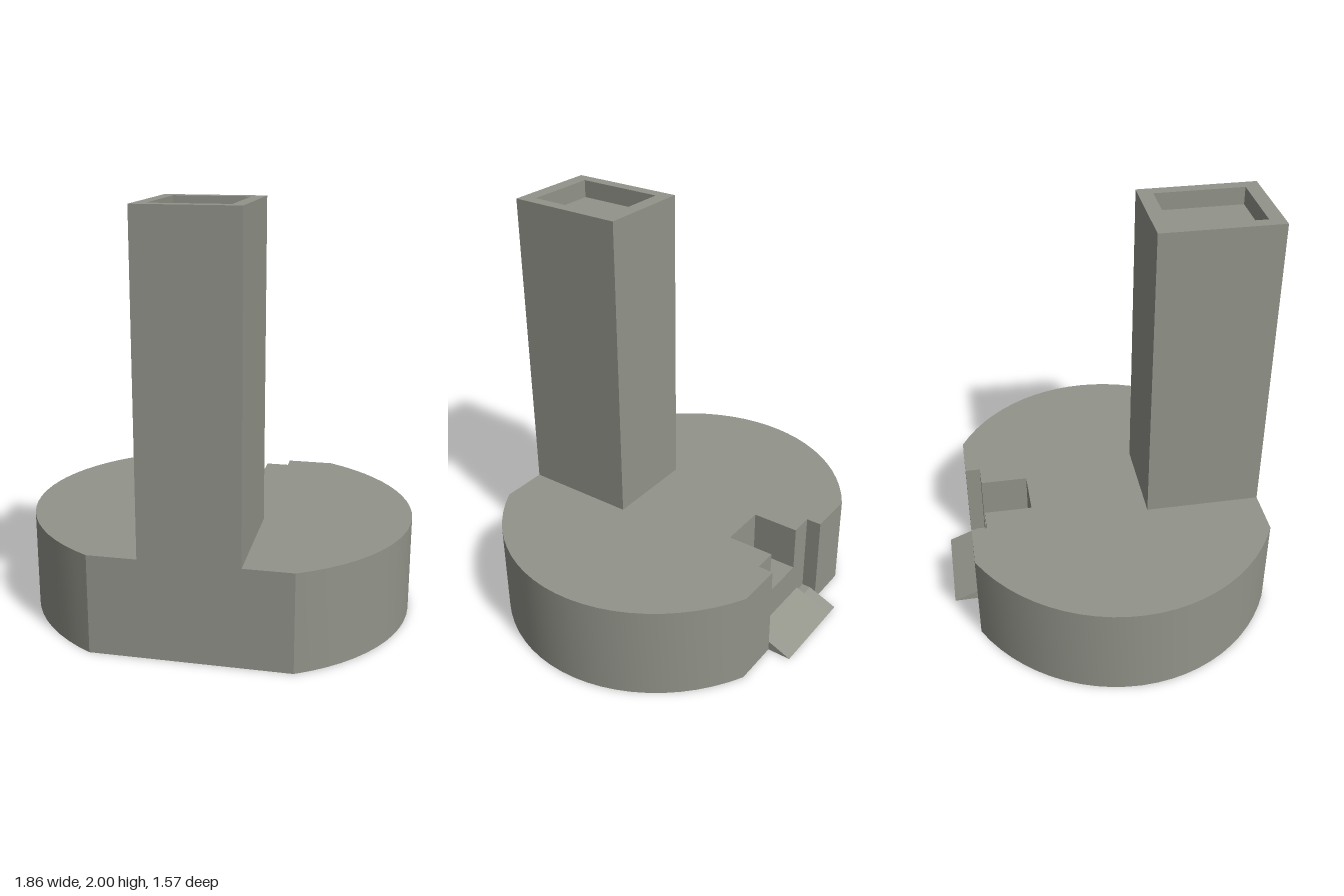
import * as THREE from 'three';
import { toCreasedNormals } from 'three/addons/utils/BufferGeometryUtils.js';

const grey = new THREE.MeshStandardMaterial({ color: 0x92948a, side: THREE.DoubleSide });
grey.name = 'warm grey';

const BASE_TOP = 0.475, TOP = 2, FRONT = 0.787, BACK = -0.67;
const HALF = 0.233, TOWER_BACK = 0.215;   // tower footprint
const NOTCH = -0.595, SLOT = -0.36, SLOT_HALF = 0.118;
const RECESS = 0.085;

// extrude a plan given as [x, z] points upward from y0 to y1
function plan(points, y0, y1, hole) {
  const toV = ([x, z]) => new THREE.Vector2(x, -z);
  const shape = new THREE.Shape(points.map(toV));
  if (hole) shape.holes.push(new THREE.Path(hole.map(toV)));
  const g = new THREE.ExtrudeGeometry(shape, { depth: y1 - y0, bevelEnabled: false });
  g.rotateX(-Math.PI / 2);
  g.translate(0, y0, 0);
  return toCreasedNormals(g, 0.3);
}

const rect = (hx, z0, z1) => [[-hx, z1], [hx, z1], [hx, z0], [-hx, z0]];

export function createModel() {
  const model = new THREE.Group();
  model.name = 'towerOnRoundBase';
  const add = (name, geometry, parent = model) => {
    const m = new THREE.Mesh(geometry, grey);
    m.name = name;
    parent.add(m);
    return m;
  };

  // base: one side from front to back, then mirrored
  const side = [[HALF, TOWER_BACK], [HALF, FRONT]];
  const steps = 24;
  for (let i = 0; i <= steps; i++) {
    const a = THREE.MathUtils.degToRad(60 - (120 * i) / steps);
    side.push([0.93 * Math.cos(a), 0.0585 + 0.8412 * Math.sin(a)]);
  }
  side.push([HALF, BACK], [HALF, NOTCH], [SLOT_HALF, NOTCH], [SLOT_HALF, SLOT]);
  const mirrored = side.map(([x, z]) => [-x, z]).reverse();
  add('base', plan([...side, ...mirrored], 0, BASE_TOP));

  // raised floor of the narrow slot behind the notch
  add('slotFloor', plan(rect(SLOT_HALF, NOTCH, SLOT), 0, 0.245));

  // ramp: wedge rising into the notch, with small flat steps at the inner corners
  const ramp = new THREE.Group();
  ramp.name = 'ramp';
  model.add(ramp);
  const tip = -0.787, bend = -0.64, inner = 0.172;
  const height = (z) => (z - tip) * 0.42;
  const wedge = (name, x0, x1, profile) => {
    const g = new THREE.ExtrudeGeometry(
      new THREE.Shape(profile.map(([z, y]) => new THREE.Vector2(-z, y))),
      { depth: x1 - x0, bevelEnabled: false });
    g.rotateY(Math.PI / 2);
    g.translate(x0, 0, 0);
    add(name, g, ramp);
  };
  wedge('rampMiddle', -inner, inner, [[NOTCH, 0], [tip, 0], [NOTCH, height(NOTCH)]]);
  const edge = [[NOTCH, 0], [tip, 0], [bend, height(bend)], [NOTCH, height(bend)]];
  wedge('rampEdgeLeft', inner, HALF, edge);
  wedge('rampEdgeRight', -HALF, -inner, edge);

  // tower: hollow, open underneath
  const tower = new THREE.Group();
  tower.name = 'tower';
  model.add(tower);
  const wallTop = TOP - RECESS, depth = FRONT - TOWER_BACK, mid = (FRONT + TOWER_BACK) / 2;
  const wall = (name, width, x, z, turn) => {
    const m = add(name, new THREE.PlaneGeometry(width, wallTop), tower);
    m.position.set(x, wallTop / 2, z);
    m.rotation.y = turn;
  };
  wall('towerFront', 2 * HALF, 0, FRONT, 0);
  wall('towerBack', 2 * HALF, 0, TOWER_BACK, Math.PI);
  wall('towerLeft', depth, HALF, mid, Math.PI / 2);
  wall('towerRight', depth, -HALF, mid, -Math.PI / 2);

  // rim around the shallow recess at the top, and the recess floor
  add('towerRim', plan(rect(HALF, TOWER_BACK, FRONT), wallTop, TOP,
    rect(0.176, 0.285, 0.717)), tower);
  const floor = add('recessFloor', new THREE.PlaneGeometry(0.352, 0.432), tower);
  floor.rotation.x = -Math.PI / 2;
  floor.position.set(0, wallTop, mid);

  return model;
}
